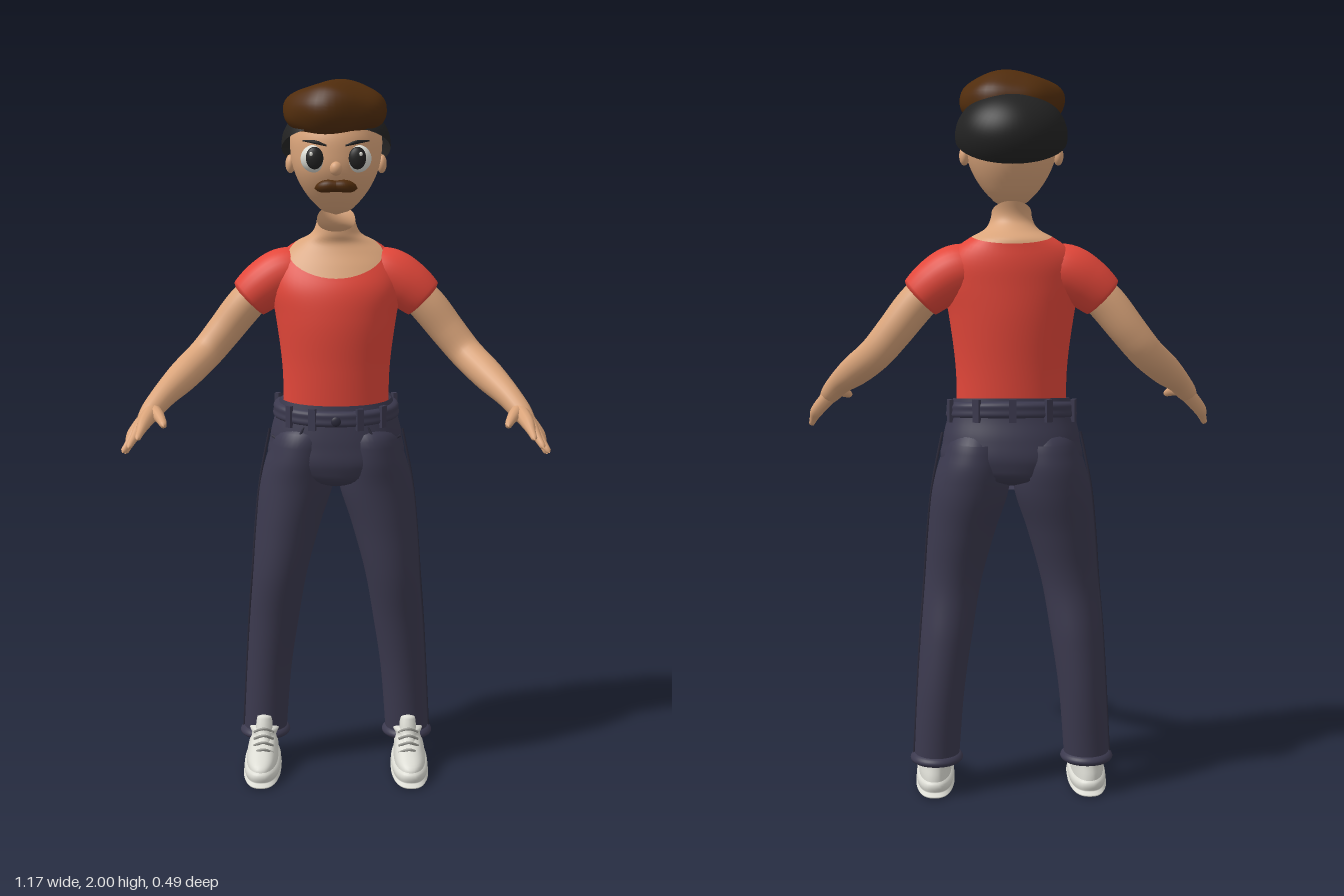
import * as THREE from 'three';
import { mergeVertices } from 'three/addons/utils/BufferGeometryUtils.js';
import { ParametricGeometry } from 'three/addons/geometries/ParametricGeometry.js';

const flat = (color, side = THREE.DoubleSide) => new THREE.MeshStandardMaterial({ color, side });

// Weld seams and give smooth normals
function smooth(geo) {
  geo.deleteAttribute('uv');
  geo.deleteAttribute('normal');
  const g = mergeVertices(geo, 1e-5);
  g.computeVertexNormals();
  return g;
}

// Stack of superellipse rings; key = [y, centreX, radiusX, centreZ, radiusZ].
// lo and hi give the lower and upper edge for f, where f = 1 in front and -1 behind.
function loft(keys, { lo, hi, rows = 24, seg = 40, pow = 1, grow = 0, u0 = 0, u1 = 1, tilt = 0 } = {}) {
  const curve = new THREE.CubicInterpolant(keys.map(k => k[0]), keys.flatMap(k => k.slice(1)), 4);
  const bottom = lo ?? (() => keys[0][0]), top = hi ?? (() => keys.at(-1)[0]);
  const round = t => Math.sign(t) * Math.abs(t) ** pow;
  return smooth(new ParametricGeometry((u, v, target) => {
    const a = (u0 + (u1 - u0) * u) * Math.PI * 2;
    const c = Math.cos(a), f = -Math.sin(a);
    const y = THREE.MathUtils.lerp(bottom(f), top(f), v);
    const [cx, rx, cz, rz] = curve.evaluate(y);
    target.set(cx + (rx + grow) * round(c), y + tilt * f, cz + (rz + grow) * round(f));
  }, seg, rows));
}

// Tapered tube through points; p = [x, y, z, radius]
function limb(points, seg = 20, sides = 16) {
  const curve = new THREE.CatmullRomCurve3(points.map(p => new THREE.Vector3(p[0], p[1], p[2])));
  const radius = new THREE.CatmullRomCurve3(points.map((p, i) => new THREE.Vector3(i, p[3], 0)));
  const geo = new THREE.TubeGeometry(curve, seg, 1, sides);
  const pos = geo.attributes.position, v = new THREE.Vector3();
  for (let i = 0; i <= seg; i++) {
    const t = curve.getUtoTmapping(i / seg);
    const centre = curve.getPoint(t), r = Math.max(radius.getPoint(t).y, 0.0015);
    for (let j = 0; j <= sides; j++) {
      const k = i * (sides + 1) + j;
      v.fromBufferAttribute(pos, k).sub(centre).multiplyScalar(r).add(centre);
      pos.setXYZ(k, v.x, v.y, v.z);
    }
  }
  return smooth(geo);
}

const ball = (x, y, z, rx, ry, rz) =>
  smooth(new THREE.SphereGeometry(1, 28, 20)).scale(rx, ry, rz).translate(x, y, z);

function mirrored(geo) {
  const g = geo.clone().scale(-1, 1, 1), ix = g.index;
  for (let i = 0; i < ix.count; i += 3) {
    const a = ix.getX(i);
    ix.setX(i, ix.getX(i + 2));
    ix.setX(i + 2, a);
  }
  g.computeVertexNormals();
  return g;
}

export function createModel() {
  const model = new THREE.Group();
  model.name = 'man';
  const skin = flat(0xdba57b), shirt = flat(0xe4473a), denim = flat(0x3b394e), seam = flat(0x2b2a3a);
  const brown = flat(0x502c0c), black = flat(0x222222), white = flat(0xdcdcd4), grey = flat(0x9c9c96);

  const add = (name, geo, mat) => {
    const m = new THREE.Mesh(geo, mat);
    m.name = name;
    model.add(m);
  };
  const pair = (name, geo, mat) => {
    add('left' + name, geo, mat);
    add('right' + name, mirrored(geo), mat);
  };

  // Torso: the shirt stops at a scooped neckline and skin carries on up the neck
  const body = [
    [1.07, 0, 0.15, -0.1, 0.1], [1.2, 0, 0.153, -0.1, 0.109], [1.35, 0, 0.172, -0.103, 0.12],
    [1.43, 0, 0.186, -0.11, 0.116], [1.49, 0, 0.178, -0.125, 0.102], [1.53, 0, 0.148, -0.134, 0.088],
    [1.555, 0, 0.112, -0.135, 0.08], [1.575, 0, 0.075, -0.118, 0.068], [1.6, 0, 0.058, -0.105, 0.055],
    [1.67, 0, 0.055, -0.118, 0.048],
  ];
  const neckline = f => 1.557 - (f > 0 ? 0.097 * f ** 1.6 : 0.015 * f * f);
  add('shirtBody', loft(body, { hi: neckline, rows: 36, seg: 56 }), shirt);
  add('neck', loft(body, { lo: neckline, hi: f => 1.62 - 0.033 * f, rows: 20, seg: 56 }), skin);
  pair('Sleeve', limb([[0.07, 1.46, -0.125, 0.06], [0.14, 1.465, -0.125, 0.073], [0.2, 1.432, -0.122, 0.072],
    [0.252, 1.388, -0.12, 0.059], [0.253, 1.387, -0.12, 0.04]], 28, 24), shirt);

  // Arms and hands
  pair('Arm', limb([[0.2, 1.435, -0.12, 0.05], [0.26, 1.375, -0.12, 0.053], [0.32, 1.3, -0.118, 0.05],
    [0.37, 1.24, -0.1, 0.047], [0.43, 1.185, -0.02, 0.044], [0.48, 1.14, 0.06, 0.034],
    [0.51, 1.105, 0.105, 0.029], [0.525, 1.085, 0.13, 0.022]], 40, 20), skin);
  const tips = [[0.532, 1.056, 0.243], [0.558, 1.03, 0.228], [0.578, 1.01, 0.193], [0.575, 1.002, 0.166]];
  tips.forEach(([x, y, z], i) => {
    const t = (i - 1.5) / 3;
    const base = [0.537 + 0.035 * t, 1.068 - 0.04 * t, 0.155 - 0.045 * t];
    const mid = base.map((b, k) => b * 0.45 + [x, y, z][k] * 0.55);
    pair('Finger' + (i + 1), limb([[0.503, 1.11, 0.1, 0.024], [...base, 0.019], [...mid, 0.0115],
      [x, y, z, 0.007], [x, y, z + 0.002, 0.001]], 18, 10), skin);
  });
  pair('Thumb', limb([[0.505, 1.11, 0.1, 0.022], [0.483, 1.102, 0.15, 0.016],
    [0.465, 1.086, 0.2, 0.009], [0.465, 1.085, 0.207, 0.001]], 16, 10), skin);

  // Jeans
  const hips = [[0.865, 0, 0.03, -0.11, 0.03], [0.885, 0, 0.1, -0.11, 0.1], [0.93, 0, 0.185, -0.108, 0.131],
    [1.0, 0, 0.189, -0.105, 0.129], [1.06, 0, 0.176, -0.1, 0.117], [1.115, 0, 0.16, -0.1, 0.108]];
  const leg = [[0.09, 0.212, 0.063, -0.126, 0.064], [0.3, 0.198, 0.066, -0.125, 0.078],
    [0.45, 0.182, 0.072, -0.113, 0.085], [0.6, 0.163, 0.079, -0.093, 0.091],
    [0.75, 0.137, 0.094, -0.1, 0.107], [0.87, 0.112, 0.106, -0.109, 0.124],
    [0.96, 0.1, 0.094, -0.106, 0.13], [1.03, 0.09, 0.075, -0.1, 0.105], [1.06, 0.085, 0.03, -0.1, 0.05]];
  add('jeansHips', loft(hips, { pow: 0.92, tilt: -0.012 }), denim);
  pair('JeansLeg', loft(leg, { rows: 50 }), denim);
  pair('JeansCuff', loft([[0.083, 0.212, 0.056, -0.126, 0.056], [0.086, 0.212, 0.066, -0.126, 0.067],
    [0.11, 0.211, 0.066, -0.126, 0.068], [0.113, 0.211, 0.06, -0.126, 0.06]], { rows: 9 }), denim);
  pair('BackPocket', loft(leg, { lo: () => 0.885, hi: () => 1.0, u0: 0.13, u1: 0.34, grow: 0.008, rows: 10, seg: 14 }), denim);
  pair('SideSeam', limb([[0.191, 1.02, -0.1, 0.004], [0.22, 0.87, -0.108, 0.004], [0.233, 0.75, -0.1, 0.004],
    [0.244, 0.6, -0.093, 0.004], [0.256, 0.45, -0.113, 0.004], [0.276, 0.1, -0.126, 0.004]], 40, 6), seam);
  pair('FrontPocketSeam', limb([[0.09, 1.042, 0.002, 0.004], [0.11, 1.01, 0.006, 0.004],
    [0.145, 0.995, -0.015, 0.004], [0.182, 1.005, -0.065, 0.004]], 16, 6), seam);

  // Belt and loops
  add('belt', loft([[1.056, 0, 0.166, -0.1, 0.112], [1.064, 0, 0.179, -0.1, 0.122],
    [1.08, 0, 0.179, -0.1, 0.122], [1.1, 0, 0.173, -0.1, 0.118], [1.108, 0, 0.152, -0.1, 0.1]],
  { tilt: -0.015, rows: 16, pow: 0.95 }), denim);
  for (const a of [0.06, 0.16, 0.25, 0.34, 0.44, 0.62, 0.69, 0.81, 0.88]) {
    const t = a * Math.PI * 2, c = Math.cos(t), f = -Math.sin(t);
    const loop = new THREE.BoxGeometry(0.02, 0.062, 0.012).rotateY(Math.atan2(c, f));
    add('beltLoop', loop.translate(c * 0.181, 1.08 - 0.015 * f, -0.1 + f * 0.124), denim);
  }
  add('beltButton', ball(0, 1.062, 0.024, 0.014, 0.014, 0.006), seam);

  // Shoes
  pair('ShoeSole', loft([[0, 0.217, 0.01, -0.05, 0.05], [0.002, 0.217, 0.042, -0.05, 0.135],
    [0.012, 0.217, 0.05, -0.05, 0.143], [0.038, 0.217, 0.05, -0.05, 0.145], [0.046, 0.217, 0.04, -0.05, 0.135]],
  { pow: 0.8, rows: 12 }), white);
  pair('ShoeUpper', loft([[0.03, 0.217, 0.046, -0.05, 0.142], [0.055, 0.217, 0.046, -0.053, 0.136],
    [0.08, 0.215, 0.042, -0.075, 0.108], [0.105, 0.213, 0.039, -0.102, 0.077],
    [0.13, 0.212, 0.036, -0.116, 0.06], [0.135, 0.212, 0.01, -0.116, 0.02]], { pow: 0.85, rows: 20 }), white);
  pair('ShoeTongue', limb([[0.213, 0.07, 0.0, 0.02], [0.213, 0.105, -0.045, 0.024],
    [0.212, 0.14, -0.06, 0.024], [0.212, 0.165, -0.066, 0.018], [0.212, 0.167, -0.066, 0.001]], 16, 12), white);
  for (let i = 0; i < 4; i++) {
    const y = 0.084 + i * 0.014, z = 0.028 - i * 0.019;
    pair('Lace', limb([[0.185, y - 0.01, z - 0.018, 0.004], [0.213, y + 0.006, z, 0.004],
      [0.241, y - 0.01, z - 0.018, 0.004]], 10, 6), grey);
  }

  // Head
  add('head', loft([[1.633, 0, 0.004, -0.08, 0.004], [1.64, 0, 0.03, -0.08, 0.032], [1.66, 0, 0.057, -0.079, 0.062],
    [1.7, 0, 0.09, -0.076, 0.097], [1.75, 0, 0.115, -0.074, 0.124], [1.8, 0, 0.126, -0.076, 0.132],
    [1.86, 0, 0.124, -0.08, 0.128], [1.91, 0, 0.095, -0.08, 0.095], [1.935, 0, 0.03, -0.08, 0.03]],
  { rows: 36 }), skin);
  pair('Ear', ball(0.127, 1.772, -0.09, 0.014, 0.026, 0.02), skin);
  add('nose', ball(0, 1.764, 0.056, 0.017, 0.019, 0.016), skin);
  pair('EyeWhite', ball(0.06, 1.79, 0.034, 0.036, 0.037, 0.024), white);
  pair('Pupil', ball(0.058, 1.792, 0.05, 0.024, 0.03, 0.013), black);
  pair('EyeGlint', ball(0.067, 1.803, 0.0605, 0.005, 0.006, 0.003), white);
  pair('Eyebrow', limb([[0.025, 1.825, 0.054, 0.002], [0.055, 1.834, 0.046, 0.005], [0.09, 1.838, 0.024, 0.002]], 12, 8), black);
  pair('MoustacheHalf', limb([[0, 1.717, 0.049, 0.015], [0.025, 1.717, 0.048, 0.017],
    [0.045, 1.713, 0.038, 0.013], [0.058, 1.71, 0.028, 0.001]], 14, 12), brown);

  // Hair: dark back cap tilted backwards, with a lumpy brown top
  const cap = smooth(new THREE.SphereGeometry(1, 40, 24, 0, Math.PI * 2, 0, 1.68));
  add('backHair', cap.rotateX(-0.55).scale(0.152, 0.122, 0.15).translate(0, 1.825, -0.092), black);
  const top = new THREE.SphereGeometry(1, 48, 32), p = top.attributes.position;
  for (let i = 0; i < p.count; i++) {
    const x = p.getX(i), y = p.getY(i), z = p.getZ(i);
    const bump = 1 + 0.035 * Math.sin(5 * x + 2 * z + 1) + 0.03 * Math.sin(6 * z - 3 * x) * Math.cos(4 * y + x);
    p.setXYZ(i, x * bump, Math.sign(y) * Math.abs(y) ** 0.9 * bump, z * bump);
  }
  add('topHair', smooth(top).scale(0.141, 0.083, 0.12).translate(0, 1.916, -0.046), brown);

  return model;
}
